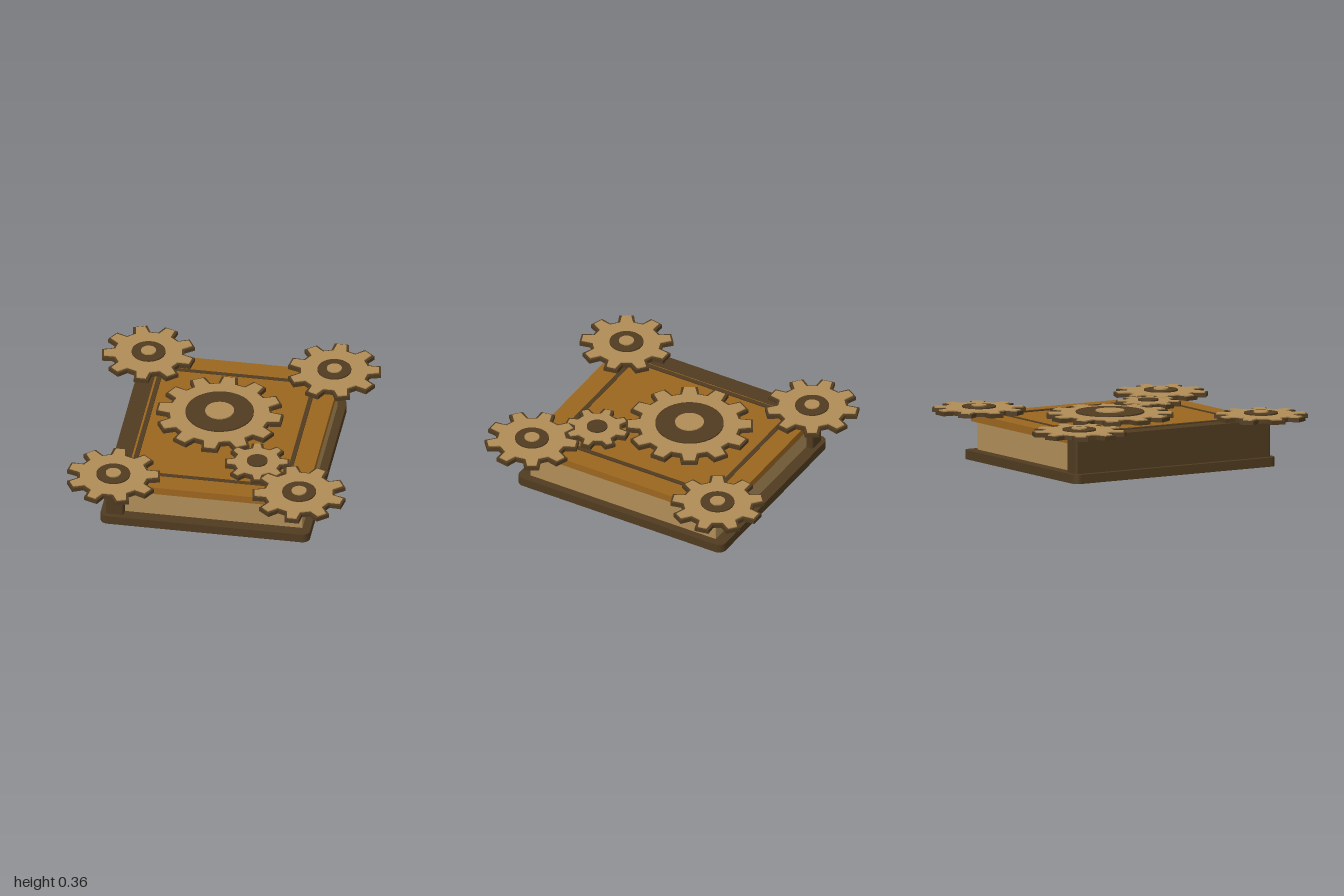
import * as THREE from 'three';

const leather = new THREE.MeshStandardMaterial({ color: 0x9c661f });
const brass = new THREE.MeshStandardMaterial({ color: 0xb08d57 });
const darkBronze = new THREE.MeshStandardMaterial({ color: 0x503b20 });
leather.name = 'brown leather';
brass.name = 'tan';
darkBronze.name = 'dark bronze';

function roundedRect(x0, x1, z, r) {
  const s = new THREE.Shape();
  const corners = [[x1 - r, z - r], [x0 + r, z - r], [x0 + r, -z + r], [x1 - r, -z + r]];
  corners.forEach(([cx, cy], i) => s.absarc(cx, cy, r, i * Math.PI / 2, (i + 1) * Math.PI / 2));
  s.closePath();
  return s;
}

// Upright prism from a plan outline, between two heights
function slab(name, shape, y0, y1, material) {
  const geo = new THREE.ExtrudeGeometry(shape, { depth: y1 - y0, bevelEnabled: false, curveSegments: 6 });
  geo.rotateX(-Math.PI / 2);
  geo.translate(0, y0, 0);
  const mesh = new THREE.Mesh(geo, material);
  mesh.name = name;
  return mesh;
}

function bar(name, x0, x1, y0, y1, z0, z1) {
  const mesh = new THREE.Mesh(new THREE.BoxGeometry(x1 - x0, y1 - y0, z1 - z0), darkBronze);
  mesh.position.set((x0 + x1) / 2, (y0 + y1) / 2, (z0 + z1) / 2);
  mesh.name = name;
  return mesh;
}

// Toothed outline; inset pulls every edge inward
function gearShape({ teeth, tip, root, tipHalf, rootHalf }, inset) {
  const pts = [];
  const rt = tip - inset, rr = root - inset;
  const ht = tipHalf - inset / rt, hr = rootHalf - inset * 0.7 / rr;
  for (let i = 0; i < teeth; i++) {
    const a = i * 2 * Math.PI / teeth;
    for (const [r, d] of [[rr, -hr], [rt, -ht], [rt, ht], [rr, hr]]) {
      pts.push(new THREE.Vector2(r * Math.sin(a + d), r * Math.cos(a + d)));
    }
  }
  return new THREE.Shape(pts);
}

function disc(name, r, y0, y1, material) {
  const mesh = new THREE.Mesh(new THREE.CylinderGeometry(r, r, y1 - y0, 32), material);
  mesh.position.y = (y0 + y1) / 2;
  mesh.name = name;
  return mesh;
}

// Dark gear body with a tan face plate, hub and cap
function makeGear(name, spec, x, z, phase, lift = 0) {
  const g = new THREE.Group();
  g.name = name;
  g.add(slab('gearBody', gearShape(spec, 0), 0.31, 0.336, darkBronze));
  g.add(slab('gearFace', gearShape(spec, 0.015), 0.336, 0.343, brass));
  g.add(disc('gearHub', spec.hub, 0.343, 0.352, darkBronze));
  if (spec.cap) g.add(disc('gearCap', spec.cap, 0.352, 0.36, brass));
  g.position.set(x, lift, z);
  g.rotation.y = -phase * Math.PI / 180;
  return g;
}

export function createModel() {
  const book = new THREE.Group();
  book.name = 'gearedBook';

  // Back cover, spine, page block and front cover
  book.add(slab('backCover', roundedRect(-0.688, 0.686, 0.772, 0.05), 0.002, 0.062, darkBronze));
  book.add(slab('spine', roundedRect(-0.652, -0.535, 0.743, 0.015), 0.062, 0.304, darkBronze));
  book.add(slab('pages', roundedRect(-0.54, 0.632, 0.695, 0.005), 0.062, 0.255, brass));
  book.add(slab('frontCover', roundedRect(-0.548, 0.652, 0.74, 0.02), 0.25, 0.3, leather));

  // Brown corner inlay on the underside, along the spine
  const inlay = new THREE.Shape([[-0.67, 0.6], [-0.67, -0.74], [0.3, -0.74]].map(([x, y]) => new THREE.Vector2(x, y)));
  book.add(slab('undersideInlay', inlay, 0, 0.002, leather));

  // Thin frame laid on the front cover
  book.add(bar('frameSide', -0.52, -0.49, 0.3, 0.308, -0.605, 0.605));
  book.add(bar('frameSide', 0.487, 0.515, 0.3, 0.308, -0.605, 0.605));
  for (const z of [-0.59, 0.59]) {
    book.add(bar('frameEnd', -0.49, 0.487, 0.3, 0.303, z - 0.015, z + 0.015));
  }

  // Corner gears
  const corner = { teeth: 9, tip: 0.306, root: 0.235, tipHalf: 0.155, rootHalf: 0.24, hub: 0.11, cap: 0.049 };
  for (const [x, z, phase] of [[-0.61, -0.695, 180], [0.61, -0.695, 0], [-0.61, 0.695, 0], [0.61, 0.695, 180]]) {
    book.add(makeGear('cornerGear', corner, x, z, phase));
  }

  // Large middle gear and the small one that meshes with it
  const large = { teeth: 12, tip: 0.414, root: 0.338, tipHalf: 0.128, rootHalf: 0.185, hub: 0.222, cap: 0.094 };
  book.add(makeGear('largeGear', large, -0.045, -0.105, 0));
  const small = { teeth: 8, tip: 0.213, root: 0.162, tipHalf: 0.17, rootHalf: 0.27, hub: 0.067 };
  book.add(makeGear('smallGear', small, 0.285, 0.395, -9, -0.001));

  return book;
}
